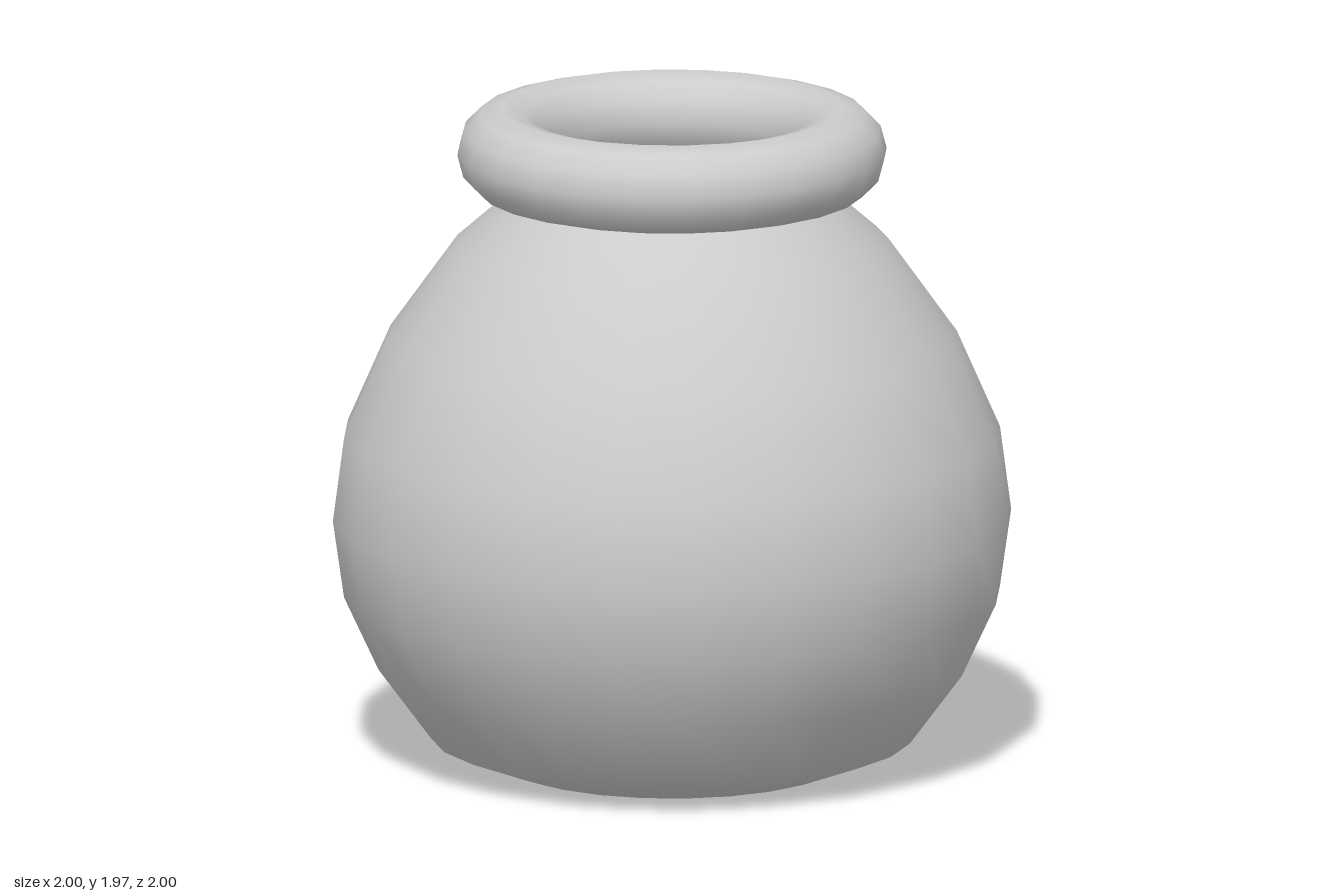
import * as THREE from 'three';

const SIDES = 24;

export function createModel() {
  const model = new THREE.Group();
  model.name = 'pot';
  const clay = new THREE.MeshStandardMaterial({ color: 0xcccccc });
  const thinClay = new THREE.MeshStandardMaterial({ color: 0xcccccc, side: THREE.DoubleSide });

  const add = (name, geometry, material) => {
    const mesh = new THREE.Mesh(geometry, material);
    mesh.name = name;
    model.add(mesh);
    return mesh;
  };

  // Hollow round body, its open top edge tucked inside the rim
  const profile = [
    [0.5, 0], [0.71, 0.08], [0.865, 0.29], [0.967, 0.51], [1, 0.74],
    [0.967, 0.99], [0.84, 1.28], [0.64, 1.56], [0.48, 1.7], [0.43, 1.75],
  ].map(([r, y]) => new THREE.Vector2(r, y));
  add('body', new THREE.LatheGeometry(profile, SIDES), thinClay);

  // Flat base, facing down outside and up inside
  const base = new THREE.CircleGeometry(0.5, SIDES);
  base.rotateX(Math.PI / 2);
  add('base', base, thinClay);

  // Thick rolled rim
  const rim = new THREE.TorusGeometry(0.5, 0.133, 12, SIDES);
  rim.rotateX(Math.PI / 2);
  add('rim', rim, clay).position.y = 1.836;

  return model;
}
